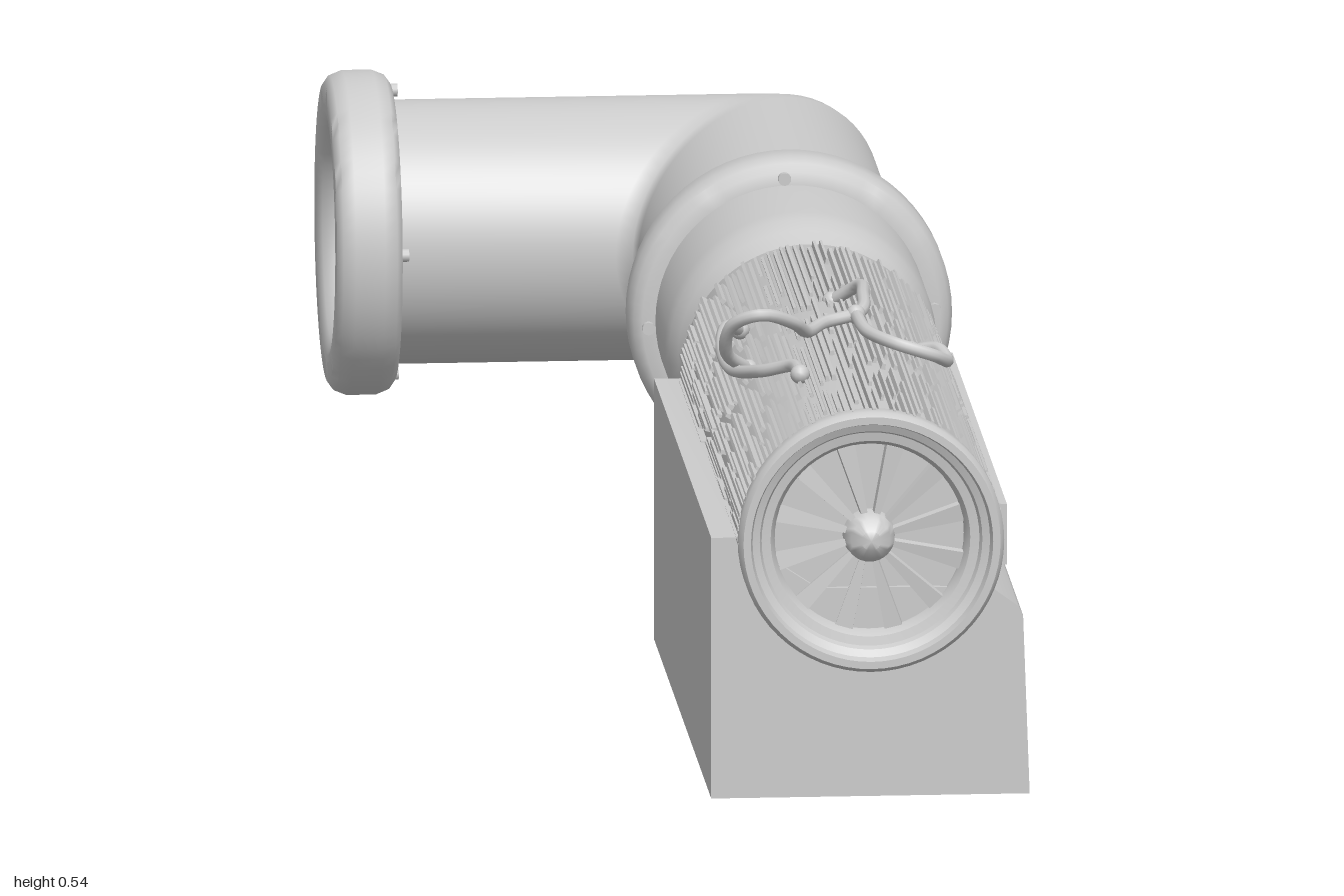
import * as THREE from 'three';
import { mergeGeometries, toCreasedNormals } from 'three/addons/utils/BufferGeometryUtils.js';

const CX = 0.163, CY = 0.325, ELBOW_Z = -0.805, R = 0.161;
const mat = new THREE.MeshStandardMaterial({ color: 0xcccccc, side: THREE.DoubleSide });

function add(group, name, geometry) {
  const mesh = new THREE.Mesh(geometry, mat);
  mesh.name = name;
  group.add(mesh);
  return mesh;
}

// Profile of [radius, height] pairs, turned so that height runs along +z
function turned(profile, segments = 64) {
  const g = new THREE.LatheGeometry(profile.map(p => new THREE.Vector2(...p)), segments);
  return toCreasedNormals(g.rotateX(Math.PI / 2), 0.7);
}

// Mitred pipe: rings follow -z, meet the diagonal, then follow -x
function elbowGeometry() {
  const n = 64, pos = [], idx = [];
  const rings = [
    (u, v) => [CX + u, CY + v, -0.3],
    (u, v) => [CX + u, CY + v, ELBOW_Z - u + 0.025],
    (u, v) => [CX + u - 0.005, CY + v, ELBOW_Z - u + 0.005],
    (u, v) => [CX + u - 0.025, CY + v, ELBOW_Z - u],
    (u, v) => [-0.32, CY + v, ELBOW_Z - u],
  ];
  rings.forEach((ring, j) => {
    for (let i = 0; i < n; i++) {
      const a = i / n * Math.PI * 2;
      pos.push(...ring(Math.cos(a) * R, Math.sin(a) * R));
      if (j < rings.length - 1) {
        const p = j * n + i, q = j * n + (i + 1) % n;
        idx.push(p, p + n, q, q, p + n, q + n);
      }
    }
  });
  const g = new THREE.BufferGeometry();
  g.setAttribute('position', new THREE.Float32BufferAttribute(pos, 3));
  g.setIndex(idx);
  g.computeVertexNormals();
  return g;
}

// Raised lengthwise slivers scattered over the upper barrel
function barkGeometry() {
  let seed = 7;
  const rand = () => (seed = (seed * 16807) % 2147483647) / 2147483647;
  const parts = [];
  const columns = 58;
  for (let c = 0; c < columns; c++) {
    const angle = 0.2 + c / (columns - 1) * 2.95;
    let z = 0.02 + rand() * 0.05;
    while (z < 0.93) {
      const len = Math.min(0.08 + rand() * 0.3, 0.98 - z);
      const g = new THREE.BoxGeometry(0.004 + rand() * 0.004, 0.012, len);
      const p = g.attributes.position;
      for (let i = 0; i < p.count; i++) if (p.getY(i) > 0) p.setX(i, p.getX(i) * 0.6);
      g.computeVertexNormals();
      g.translate(0, 0.155 + rand() * 0.003, z + len / 2);
      g.rotateZ(angle - Math.PI / 2);
      parts.push(g);
      z += len + 0.01 + rand() * 0.09;
    }
  }
  return mergeGeometries(parts).translate(CX, CY, 0);
}

// Rounded collar with four bolts, axis along +z, centred on its own origin
function makeCollar(name, boltSide) {
  const collar = new THREE.Group();
  collar.name = name;
  add(collar, 'collarRing', turned([[0.158, -0.04], [0.182, -0.04], [0.192, -0.033], [0.198, -0.018],
    [0.198, 0.018], [0.192, 0.033], [0.182, 0.04], [0.158, 0.04]]));
  for (let i = 0; i < 4; i++) {
    const a = i * Math.PI / 2 + 0.05;
    const bolt = add(collar, 'collarBolt', new THREE.CylinderGeometry(0.008, 0.008, 0.012, 10).rotateX(Math.PI / 2));
    bolt.position.set(Math.cos(a) * 0.175, Math.sin(a) * 0.175, boltSide * 0.042);
  }
  return collar;
}

// Front grille: stepped rim, recessed disc, radial blades and hub
function makeFan() {
  const fan = new THREE.Group();
  fan.name = 'fan';
  fan.position.set(CX, CY, 0);
  add(fan, 'fanRim', turned([[0.158, 0.96], [0.162, 0.97], [0.162, 0.993], [0.157, 1], [0.148, 1],
    [0.145, 0.988], [0.136, 0.984], [0.133, 0.976], [0.122, 0.974], [0.116, 0.962], [0.116, 0.945]]));
  add(fan, 'fanBack', new THREE.CircleGeometry(0.12, 48).translate(0, 0, 0.948));
  const blade = new THREE.Shape([[0.02, -0.003], [0.116, -0.011], [0.116, 0.011], [0.02, 0.003]]
    .map(p => new THREE.Vector2(...p)));
  for (let i = 0; i < 12; i++) {
    const g = new THREE.ExtrudeGeometry(blade, { depth: 0.012, bevelEnabled: false });
    add(fan, 'fanBlade', g.rotateX(0.12).translate(0, 0, 0.952).rotateZ((i + 0.5) * Math.PI / 6));
  }
  add(fan, 'fanHub', turned([[0.032, 0.948], [0.03, 0.968], [0.024, 0.978], [0.012, 0.988], [0, 0.992]], 32));
  return fan;
}

export function createModel() {
  const model = new THREE.Group();
  model.name = 'ductedBlower';

  // Cradle under the barrel, one shoulder higher than the other
  const section = new THREE.Shape([[-0.03, 0], [0.359, 0], [0.351, 0.222], [0.345, 0.234], [0.312, 0.258],
    [0.2, 0.26], [0.1, 0.26], [0.002, 0.325], [-0.03, 0.325]].map(p => new THREE.Vector2(...p)));
  const cradle = new THREE.ExtrudeGeometry(section, { depth: 0.905, bevelEnabled: false });
  add(model, 'cradle', toCreasedNormals(cradle.translate(0, 0, 0.05), 0.6));

  // Barrel, with the waisted neck that joins it to the pipe
  add(model, 'barrel', turned([[0.13, 0], [0.15, 0], [0.156, 0.012], [0.156, 0.97]], 96).translate(CX, CY, 0));
  add(model, 'neck', turned([[0.166, -0.32], [0.166, -0.13], [0.163, -0.1], [0.154, -0.075], [0.14, -0.045],
    [0.137, -0.03], [0.141, -0.02], [0.148, -0.015], [0.148, 0.002]]).translate(CX, CY, 0));
  add(model, 'bark', barkGeometry());
  model.add(makeFan());

  // Framed panel along the left side of the barrel
  const box = (name, w, h, d, x, y, z) => add(model, name, new THREE.BoxGeometry(w, h, d).translate(x, y, z));
  box('panelPlate', 0.03, 0.07, 0.86, 0.309, 0.318, 0.5);
  for (const s of [-1, 1]) {
    box('panelRail', 0.03, 0.008, 0.86, 0.318, 0.318 + s * 0.034, 0.5);
    box('panelEnd', 0.03, 0.068, 0.008, 0.318, 0.318, 0.5 + s * 0.426);
  }

  // Elbow pipe and its two collars
  add(model, 'elbowPipe', elbowGeometry());
  const jointCollar = makeCollar('jointCollar', 1);
  jointCollar.position.set(CX, CY, -0.318);
  const endCollar = makeCollar('endCollar', -1);
  endCollar.position.set(-0.325, CY, ELBOW_Z);
  endCollar.rotation.y = -Math.PI / 2;
  // Rolled lip and bore at the open end
  add(endCollar, 'mouth', turned([[0.182, 0.04], [0.15, 0.04], [0.132, 0.034], [0.121, 0.018], [0.118, 0],
    [0.118, -0.35], [0, -0.35]]));
  model.add(jointCollar, endCollar);

  // Loose cables lying over the top
  const cables = [
    [[0.05, 0.455, 0.37], [0.03, 0.47, 0.42], [0.018, 0.46, 0.5], [0.025, 0.45, 0.57], [0.055, 0.465, 0.65],
      [0.09, 0.48, 0.69], [0.095, 0.48, 0.74]],
    [[0.165, 0.48, 0.33], [0.195, 0.505, 0.36], [0.195, 0.512, 0.44], [0.185, 0.505, 0.51], [0.14, 0.5, 0.54],
      [0.115, 0.5, 0.59], [0.095, 0.52, 0.63], [0.055, 0.537, 0.66], [0.02, 0.52, 0.64], [0.015, 0.48, 0.61],
      [0.045, 0.45, 0.57]],
    [[0.245, 0.465, 0.55], [0.275, 0.472, 0.57], [0.285, 0.465, 0.61], [0.265, 0.48, 0.645], [0.22, 0.495, 0.645],
      [0.19, 0.5, 0.6], [0.18, 0.505, 0.52]],
  ];
  for (const points of cables) {
    const curve = new THREE.CatmullRomCurve3(points.map(p => new THREE.Vector3(...p)));
    add(model, 'cable', new THREE.TubeGeometry(curve, 60, 0.008, 10));
    for (const end of [points[0], points[points.length - 1]]) {
      add(model, 'cablePlug', new THREE.SphereGeometry(0.012, 12, 8).translate(...end));
    }
  }
  return model;
}
